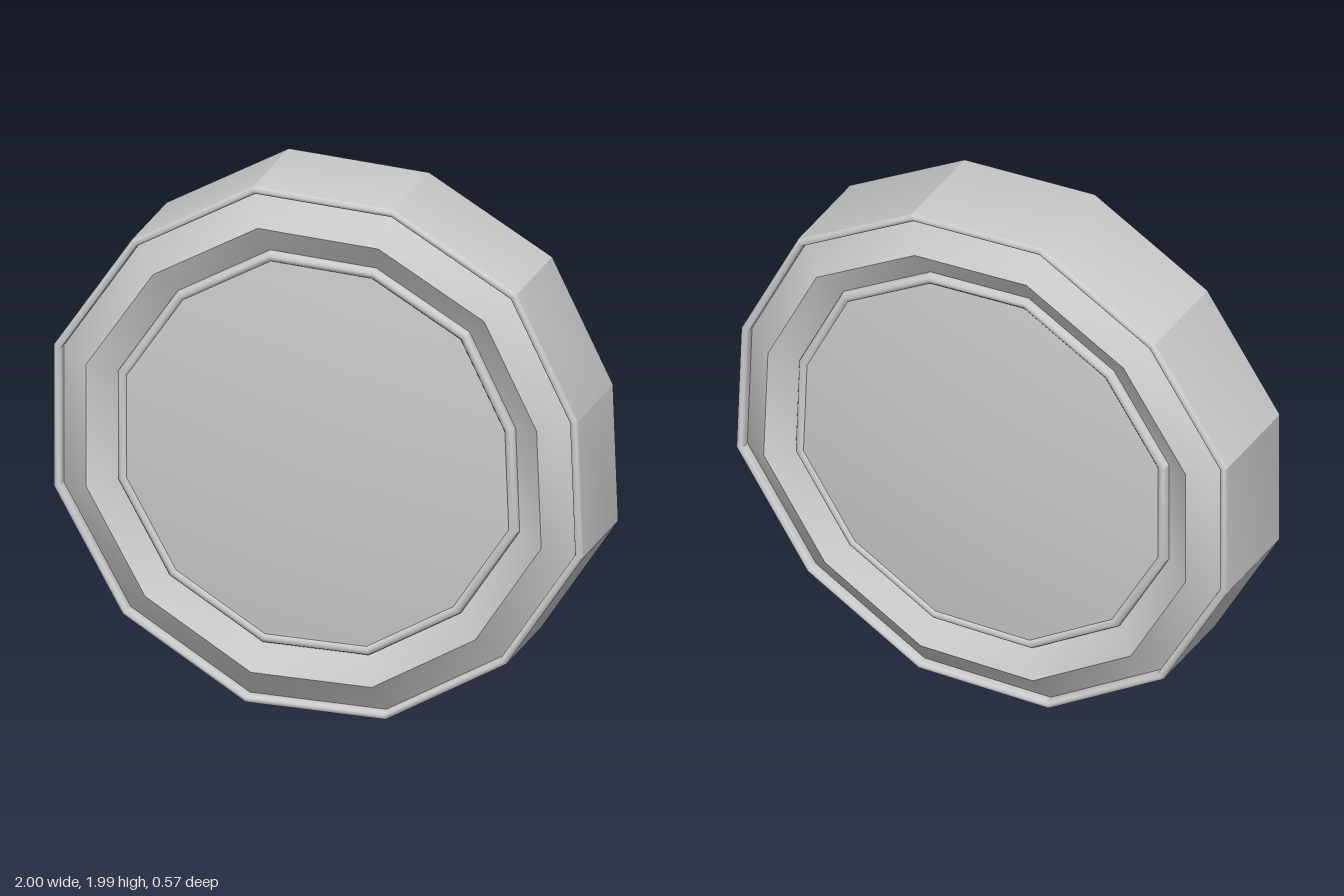
import * as THREE from 'three';
import { toCreasedNormals } from 'three/addons/utils/BufferGeometryUtils.js';

// Slightly irregular twelve-sided outline, counter-clockwise around the disc's centre
const OUTLINE = [
  [-0.275, -0.99], [0.255, -0.99], [0.71, -0.72], [1, -0.275], [0.98, 0.245], [0.75, 0.705],
  [0.285, 0.97], [-0.245, 0.995], [-0.705, 0.73], [-1, 0.29], [-1, -0.25], [-0.74, -0.71],
];

// Sweeps a [scale, z] profile around the outline; profiles run from rim to centre on the front
function sweep(profile) {
  const pos = [];
  const n = OUTLINE.length;
  const point = ([s, z], i) => [OUTLINE[i % n][0] * s, OUTLINE[i % n][1] * s, z];
  for (let k = 0; k < profile.length - 1; k++) {
    const [p, q] = [profile[k], profile[k + 1]];
    for (let i = 0; i < n; i++) {
      const a = point(p, i), b = point(p, i + 1), c = point(q, i + 1), d = point(q, i);
      if (p[0] > 0) pos.push(...a, ...b, ...c);
      if (q[0] > 0) pos.push(...a, ...c, ...d);
    }
  }
  const geo = new THREE.BufferGeometry();
  geo.setAttribute('position', new THREE.Float32BufferAttribute(pos, 3));
  return toCreasedNormals(geo, 0.45);
}

// Points of a half-round bead from its outer to its inner foot
function bead(centre, z, radius, from = 0) {
  return Array.from({ length: 9 }, (_, i) => {
    const t = from + (Math.PI - from) * i / 8;
    return [centre + radius * Math.cos(t), z + radius * Math.sin(t)];
  });
}

const mirrored = (profile) => profile.map(([s, z]) => [s, -z]).reverse();

export function createModel() {
  const group = new THREE.Group();
  const material = new THREE.MeshStandardMaterial({ color: 0xcccccc });
  const add = (name, profile) => {
    const mesh = new THREE.Mesh(sweep(profile), material);
    mesh.name = name;
    group.add(mesh);
  };

  // Outer band with a rounded lip on both edges
  const lip = [...bead(0.985, 0.19, 0.015), [0.97, 0.165]];
  add('outerBand', [...mirrored(lip), ...lip]);

  // Raised ring, beaded border and shallow cone, the same on both faces
  const faceParts = {
    RaisedRing: [[0.972, 0.167], [0.86, 0.247], [0.755, 0.182]],
    Bead: [[0.757, 0.175], ...bead(0.738, 0.192, 0.019), [0.719, 0.185]],
    Dome: [[0.722, 0.203], [0, 0.287]],
  };
  for (const [name, profile] of Object.entries(faceParts)) {
    add('front' + name, profile);
    add('back' + name, mirrored(profile));
  }

  group.position.y = 0.995;
  const root = new THREE.Group();
  root.name = 'facetedDisc';
  root.add(group);
  return root;
}
